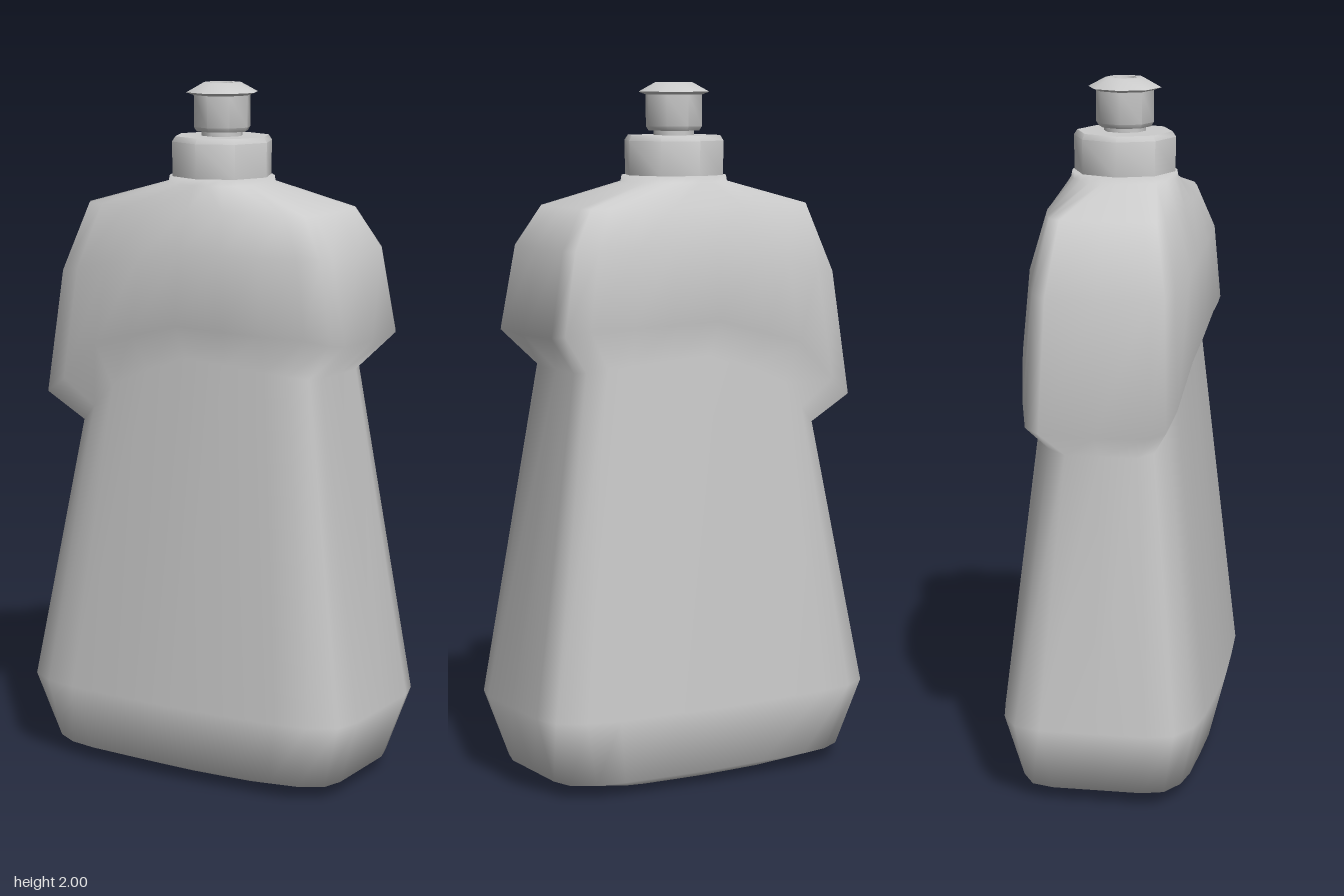
import * as THREE from 'three';
import { toCreasedNormals } from 'three/addons/utils/BufferGeometryUtils.js';

// Quarter outlines from front middle to side middle, as fractions of half width and half depth
const LOWER = [[0, 1], [0.32, 0.98], [0.64, 0.95], [0.82, 0.89], [0.96, 0.74], [1, 0.5], [1, 0]];
const UPPER = [[0, 1], [0.3, 0.975], [0.55, 0.94], [0.8, 0.84], [0.94, 0.76], [0.985, 0.6], [1, 0]];
const ROUND = LOWER.map((_, i) => [Math.sin(i * Math.PI / 12), Math.cos(i * Math.PI / 12)]);

// Mirror a quarter outline into a full loop
function fullLoop(q) {
  const n = q.length - 1;
  return [
    ...q,
    ...q.slice(0, n).reverse().map(([x, z]) => [x, -z]),
    ...q.slice(1).map(([x, z]) => [-x, -z]),
    ...q.slice(1, n).reverse().map(([x, z]) => [-x, z]),
  ];
}

// Height across the width, linear between [fraction, y] stops
function heightAt(stops, u) {
  if (typeof stops === 'number') return stops;
  for (let i = 1; i < stops.length; i++) {
    const [u0, y0] = stops[i - 1], [u1, y1] = stops[i];
    if (u <= u1) return y0 + (y1 - y0) * (u - u0) / (u1 - u0);
  }
  return stops[stops.length - 1][1];
}

// Body cross-sections: outline, left and right reach, half depth, height
const SECTIONS = [
  [LOWER, 0.3, 0.3, 0.165, 0],
  [LOWER, 0.47, 0.47, 0.255, 0.04],
  [LOWER, 0.535, 0.535, 0.305, 0.235],
  // waist under the overhang
  [LOWER, 0.4, 0.385, 0.2, [[-1, 1], [-0.9, 1.03], [-0.6, 1.15], [0, 1.235], [0.9, 1.205], [1, 1.195]]],
  // lower edge of the overhang
  [UPPER, 0.51, 0.49, 0.257, [[-1, 1.08], [-0.86, 1.115], [-0.55, 1.26], [0, 1.335], [0.85, 1.32], [1, 1.3]]],
  [UPPER, 0.457, 0.447, 0.24, [[-1, 1.45], [0, 1.54], [1, 1.54]]],
  // shoulder and neck
  [UPPER, 0.38, 0.375, 0.195, 1.653],
  [ROUND, 0.153, 0.153, 0.153, 1.72],
  [ROUND, 0.15, 0.15, 0.15, 1.737],
];

function bodyGeometry() {
  const pos = [], index = [];
  for (const [outline, left, right, depth, y] of SECTIONS) {
    for (const [u, w] of fullLoop(outline)) {
      pos.push(u * (u < 0 ? left : right), heightAt(y, u), w * depth);
    }
  }
  const n = 24, rows = SECTIONS.length;
  const bottom = rows * n, top = bottom + 1;
  pos.push(0, 0, 0, 0, 1.737, 0);
  for (let i = 0; i < n; i++) {
    const k = (i + 1) % n;
    for (let j = 0; j < rows - 1; j++) {
      const a = j * n + i, b = j * n + k;
      index.push(a, b, b + n, a, b + n, a + n);
    }
    index.push(bottom, k, i, top, (rows - 1) * n + i, (rows - 1) * n + k);
  }
  const geo = new THREE.BufferGeometry();
  geo.setAttribute('position', new THREE.Float32BufferAttribute(pos, 3));
  geo.setIndex(index);
  geo.computeVertexNormals();
  return geo;
}

// Eight-sided turned part, round around the axis and sharp at its rims
function turned(profile) {
  const geo = new THREE.LatheGeometry(profile.map(([r, y]) => new THREE.Vector2(r, y)), 8);
  return toCreasedNormals(geo, 0.9);
}

export function createModel() {
  const group = new THREE.Group();
  const material = new THREE.MeshStandardMaterial({ color: 0xcccccc });
  const add = (name, geometry) => {
    const mesh = new THREE.Mesh(geometry, material);
    mesh.name = name;
    group.add(mesh);
  };

  add('bottleBody', bodyGeometry());
  add('screwCap', turned([[0, 1.735], [0.145, 1.735], [0.147, 1.835], [0.137, 1.85], [0, 1.85]]));
  add('spoutStem', turned([[0.06, 1.84], [0.06, 1.87]]));
  // pull-up nozzle with flared rim and small opening
  add('nozzle', turned([
    [0, 1.863], [0.075, 1.863], [0.083, 1.875], [0.083, 1.965], [0.105, 1.973],
    [0.055, 2], [0.034, 2], [0.03, 1.985], [0, 1.985],
  ]));
  return group;
}
